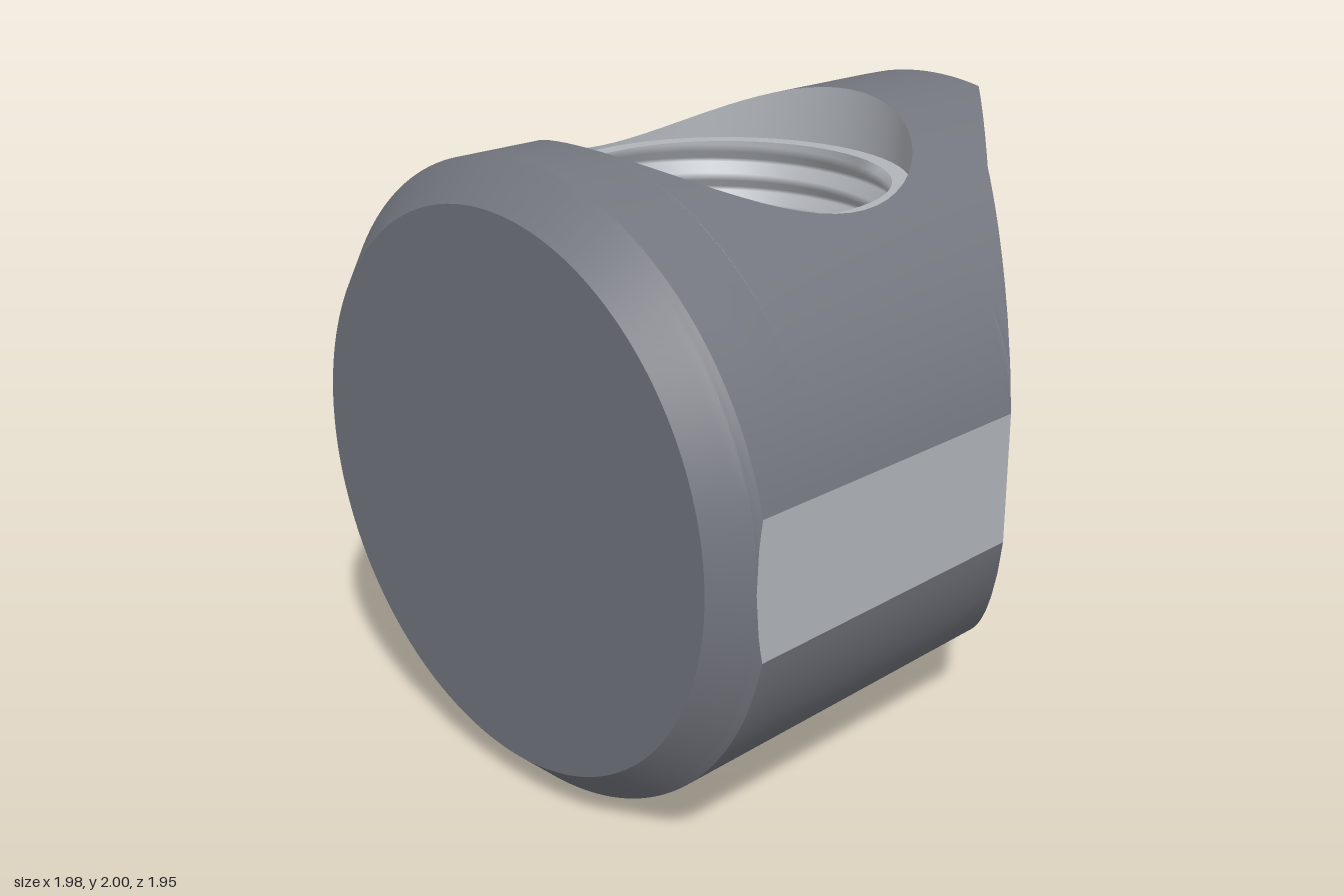
import * as THREE from 'three';
import { toCreasedNormals } from 'three/addons/utils/BufferGeometryUtils.js';

const CX = -0.05, BORE = 0.585, MINOR = 0.525, ROOT = 0.568; // cross bore and thread radii
const LEDGE = 0.8, PITCH = 0.1;                              // thread half height and pitch
const LEFT = -0.99, RIGHT = 0.985, FLAT = 0.977, TIP = 0.185;
const SEG = 64;                                              // steps round the bore
const lerp = THREE.MathUtils.lerp;

// barrel radius along x, with a chamfer at each end
const radius = x => Math.min(1, 0.88 + (x - LEFT), 0.98 + (RIGHT - x));
// half width of the plan outline: chamfer, side flats, two-slope wedge
function width(x) {
  let wedge = FLAT;
  if (x > 0.565) wedge = lerp(0.56, TIP, (x - 0.565) / (RIGHT - 0.565));
  else if (x > 0.19) wedge = lerp(FLAT, 0.56, (x - 0.19) / 0.375);
  return Math.min(radius(x), wedge);
}
const hole = x => Math.sqrt(Math.max(0, BORE * BORE - (x - CX) ** 2));
const edgeAngle = x => Math.asin(Math.min(1, width(x) / radius(x)));

// adds a grid of quads to a triangle list, leaving out collapsed triangles
function addGrid(out, nu, nv, point, flip = false) {
  const tri = (a, b, c) => {
    const n = b.clone().sub(a).cross(c.clone().sub(a));
    if (n.length() < 1e-9) return;
    for (const p of flip ? [a, c, b] : [a, b, c]) out.push(p.x, p.y, p.z);
  };
  for (let i = 0; i < nu; i++) {
    for (let j = 0; j < nv; j++) {
      const a = point(i, j), b = point(i + 1, j), c = point(i + 1, j + 1), d = point(i, j + 1);
      tri(a, b, c);
      tri(a, c, d);
    }
  }
}

function makeMesh(name, triangles, crease, material) {
  const geometry = new THREE.BufferGeometry();
  geometry.setAttribute('position', new THREE.Float32BufferAttribute(triangles, 3));
  const mesh = new THREE.Mesh(toCreasedNormals(geometry, crease), material);
  mesh.name = name;
  return mesh;
}

export function createModel() {
  const group = new THREE.Group();
  group.name = 'crossDowel';
  const dark = new THREE.MeshStandardMaterial({ color: 0x73767e });
  const light = new THREE.MeshStandardMaterial({ color: 0xb1b5bb });
  const V = (x, y, z) => new THREE.Vector3(x, y + 1, z);

  // stations along x, packed where the bore closes
  const xs = [LEFT, -0.96, -0.93, -0.91, -0.893, -0.885, -0.877, -0.87, -0.75,
    0.19, 0.565, 0.61, 0.66, 0.71, 0.76, 0.81, 0.86, 0.9, 0.94, 0.965, RIGHT];
  for (let i = 0; i <= SEG / 2; i++) xs.push(CX - BORE * Math.cos(i * 2 * Math.PI / SEG));
  xs.sort((a, b) => a - b);
  const N = xs.length - 1, M = 40;

  // barrel skin, one quarter at a time, open at the bore
  const skin = [], walls = [], ends = [], bore = [];
  for (const sz of [1, -1]) {
    for (const sy of [1, -1]) {
      addGrid(skin, N, M, (i, j) => {
        const x = xs[i], r = radius(x);
        const t = lerp(Math.asin(hole(x) / r), edgeAngle(x), j / M);
        return V(x, sy * r * Math.cos(t), sz * r * Math.sin(t));
      }, sy * sz > 0);
    }
    // side flats and wedge faces
    addGrid(walls, N, 1, (i, j) => {
      const x = xs[i], h = radius(x) * Math.cos(edgeAngle(x));
      return V(x, j ? h : -h, sz * width(x));
    }, sz < 0);
  }
  group.add(makeMesh('barrel', skin, 0.25, dark));
  group.add(makeMesh('sideFaces', walls, 0.15, light));

  // round end and narrow wedge end
  for (const x of [LEFT, RIGHT]) {
    addGrid(ends, 2 * M, 1, (i, j) => {
      const t = edgeAngle(x) * (i / M - 1), h = radius(x) * Math.cos(t);
      return V(x, j ? h : -h, radius(x) * Math.sin(t));
    }, x > 0);
  }
  group.add(makeMesh('endFaces', ends, 0.15, dark));

  // plain bore walls above and below the thread, each with a flat ledge
  for (const sy of [1, -1]) {
    addGrid(bore, SEG, 1, (i, j) => {
      const a = i * 2 * Math.PI / SEG, z = BORE * Math.sin(a);
      return V(CX + BORE * Math.cos(a), sy * (j ? Math.sqrt(1 - z * z) : LEDGE), z);
    }, sy < 0);
    addGrid(bore, SEG, 1, (i, j) => {
      const a = i * 2 * Math.PI / SEG, r = j ? BORE : MINOR;
      return V(CX + r * Math.cos(a), sy * LEDGE, r * Math.sin(a));
    }, sy < 0);
  }
  group.add(makeMesh('boreWalls', bore, 0.5, light));

  // helical thread running out under the ledges
  const thread = [], turns = 2 * LEDGE / PITCH + 3;
  const profile = [[0, MINOR], [0.25, MINOR], [0.56, ROOT], [0.69, ROOT]];
  addGrid(thread, SEG, turns * 4, (i, j) => {
    const a = i * 2 * Math.PI / SEG, [f, r0] = profile[j % 4];
    const raw = -LEDGE - PITCH + PITCH * (Math.floor(j / 4) + f - i / SEG + 0.5);
    const y = THREE.MathUtils.clamp(raw, -LEDGE, LEDGE);
    const r = y === raw ? r0 : MINOR;
    return V(CX + r * Math.cos(a), y, r * Math.sin(a));
  });
  group.add(makeMesh('thread', thread, 1.2, light));

  return group;
}
